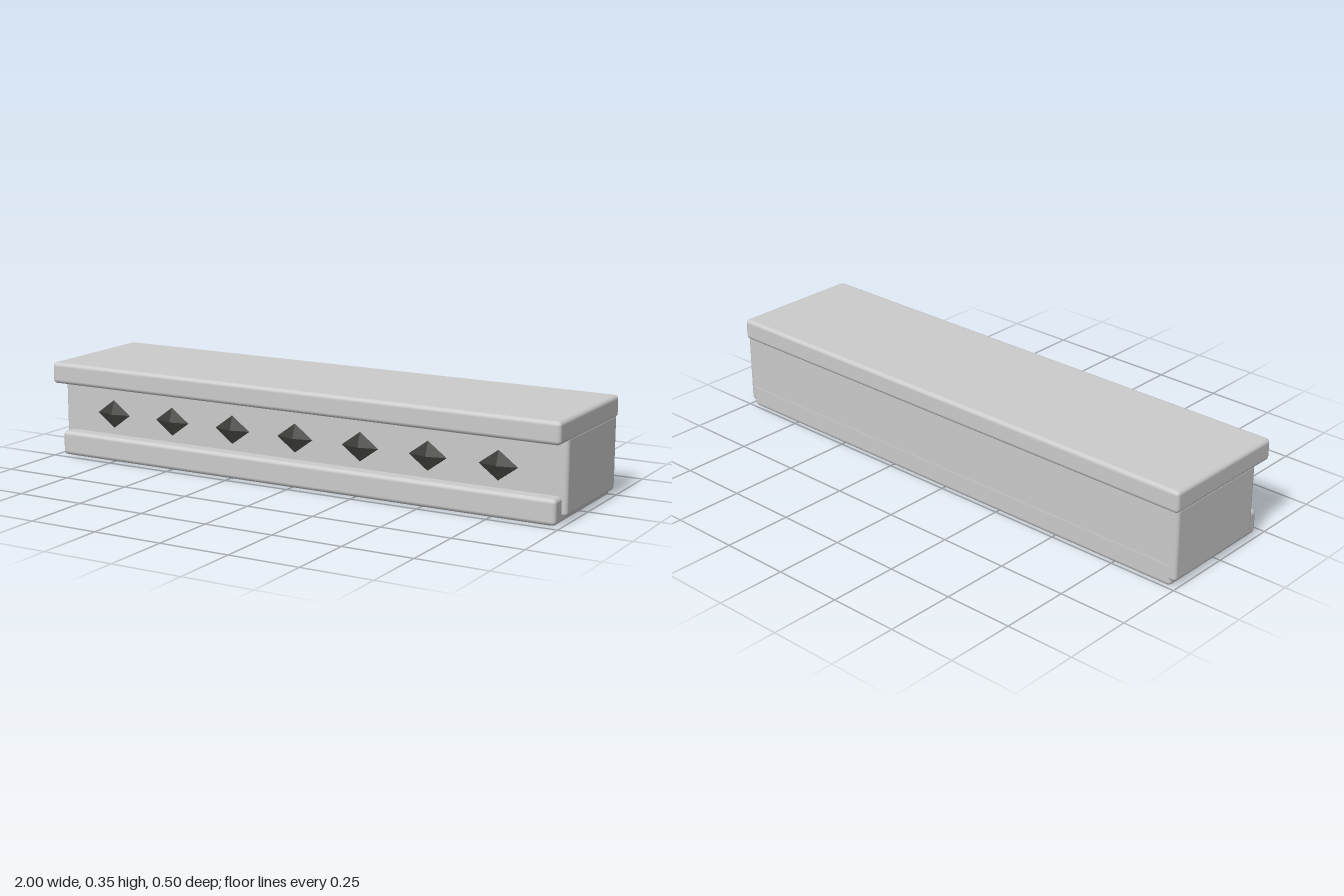
import * as THREE from 'three';
import { RoundedBoxGeometry } from 'three/addons/geometries/RoundedBoxGeometry.js';

export function createModel() {
  const group = new THREE.Group();
  const grey = new THREE.MeshStandardMaterial({ color: 0xcccccc });
  const dark = new THREE.MeshStandardMaterial({ color: 0x3c3c3a, flatShading: true });

  // Bevelled block given by its half width and its y and z limits
  function block(name, halfX, y0, y1, z0, z1) {
    const geometry = new RoundedBoxGeometry(2 * halfX, y1 - y0, z1 - z0, 2, 0.015);
    const mesh = new THREE.Mesh(geometry, grey);
    mesh.name = name;
    mesh.position.set(0, (y0 + y1) / 2, (z0 + z1) / 2);
    group.add(mesh);
  }
  block('topSlab', 1, 0.272, 0.35, -0.25, 0.25);
  block('body', 0.998, 0.022, 0.288, -0.242, 0.175);
  block('baseLedge', 0.98, 0.002, 0.091, -0.243, 0.226);

  // Row of shallow diamond studs, each a four-sided pyramid pointing forward
  const stud = new THREE.ConeGeometry(1, 1, 4);
  stud.rotateX(Math.PI / 2);
  stud.scale(0.07, 0.051, 0.017);
  for (let i = -3; i <= 3; i++) {
    const mesh = new THREE.Mesh(stud, dark);
    mesh.name = 'diamondStud';
    mesh.position.set(i * 0.255, 0.172, 0.2035);
    group.add(mesh);
  }
  return group;
}
